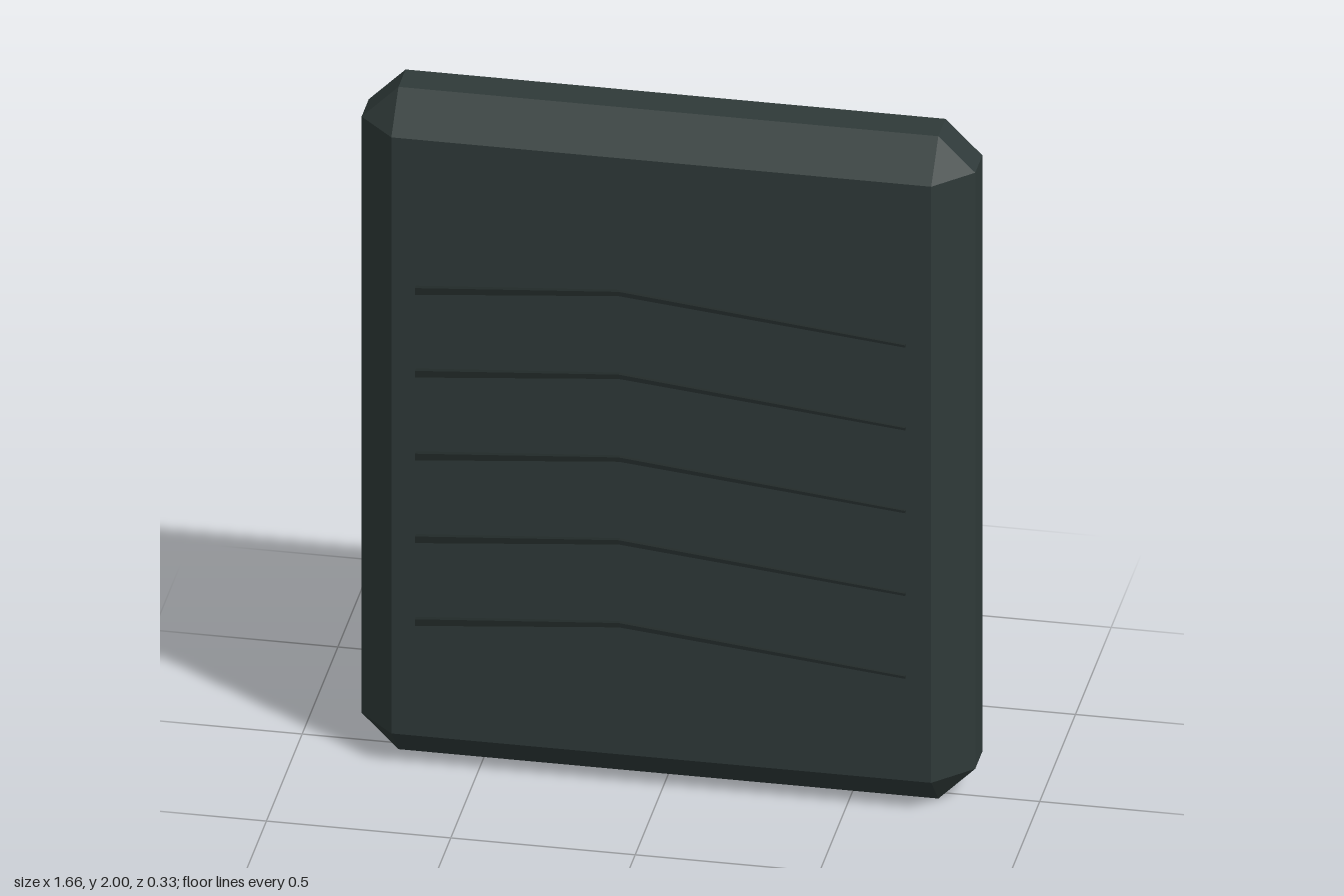
import * as THREE from 'three';
import { ConvexGeometry } from 'three/addons/geometries/ConvexGeometry.js';

// Slab with every edge chamfered by c: hull of 24 corner points
function chamferedSlab(w, h, d, c) {
  const points = [];
  for (const x of [-w / 2, w / 2])
    for (const y of [-h / 2, h / 2])
      for (const z of [-d / 2, d / 2])
        for (let axis = 0; axis < 3; axis++) {
          const inset = (v, i) => (i === axis ? v : v - Math.sign(v) * c);
          points.push(new THREE.Vector3(inset(x, 0), inset(y, 1), inset(z, 2)));
        }
  return new ConvexGeometry(points);
}

// Thin bar swept through rectangular stations [x, y, z, height, depth]
function sweptBar(stations) {
  const rings = stations.map(([x, y, z, h, d]) =>
    [[1, 1], [-1, 1], [-1, -1], [1, -1]].map(([sy, sz]) => [x, y + sy * h / 2, z + sz * d / 2]));
  const pos = [];
  const quad = (a, b, c, d) => pos.push(...a, ...b, ...c, ...a, ...c, ...d);
  for (let i = 0; i < rings.length - 1; i++)
    for (let k = 0; k < 4; k++) {
      const n = (k + 1) % 4;
      quad(rings[i][k], rings[i][n], rings[i + 1][n], rings[i + 1][k]);
    }
  const first = rings[0], last = rings[rings.length - 1];
  quad(first[0], first[3], first[2], first[1]);
  quad(last[0], last[1], last[2], last[3]);
  const geo = new THREE.BufferGeometry();
  geo.setAttribute('position', new THREE.Float32BufferAttribute(pos, 3));
  geo.computeVertexNormals();
  return geo;
}

export function createModel() {
  const group = new THREE.Group();
  const slate = new THREE.MeshStandardMaterial({ name: 'dark slate', color: 0x2f3a39 });
  const groove = new THREE.MeshStandardMaterial({ name: 'near black slate', color: 0x222a29 });

  // Main slab, set slightly back to balance the ridges
  const slab = new THREE.Mesh(chamferedSlab(1.664, 2, 0.3, 0.1), slate);
  slab.name = 'slab';
  slab.position.set(0, 1, -0.015);
  group.add(slab);

  // Five bent ridges across the front
  const ridgeGeo = sweptBar([
    [-0.665, -0.05, 0.144, 0.02, 0.014],
    [-0.11, 0.005, 0.157, 0.013, 0.012],
    [0.665, -0.08, 0.149, 0.007, 0.008],
  ]);
  for (let i = 0; i < 5; i++) {
    const ridge = new THREE.Mesh(ridgeGeo, groove);
    ridge.name = `ridge${i + 1}`;
    ridge.position.y = 0.5 + i * 0.25;
    group.add(ridge);
  }
  return group;
}
